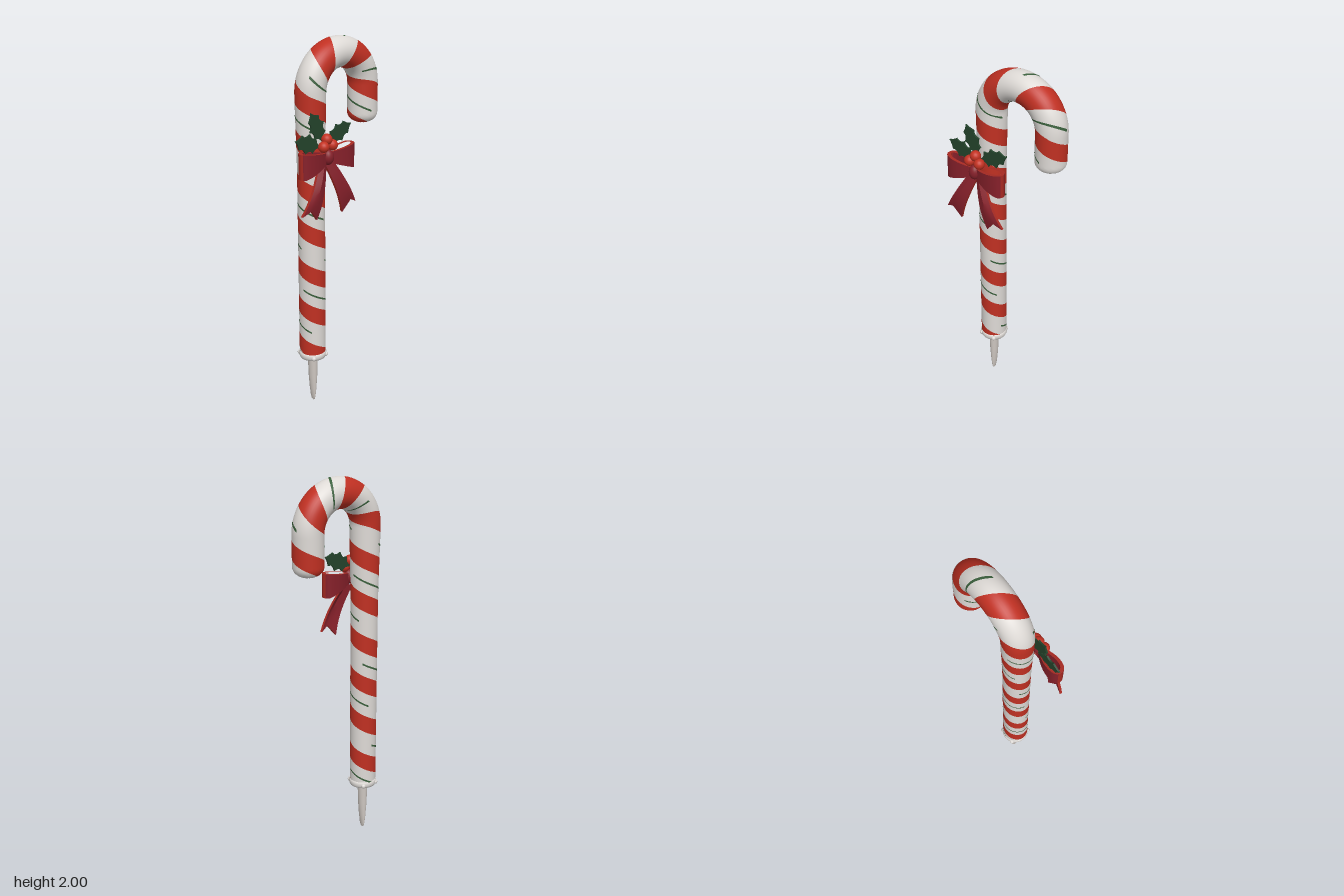
import * as THREE from 'three';
import { toCreasedNormals } from 'three/addons/utils/BufferGeometryUtils.js';

const mat = (name, color, side = THREE.FrontSide) => {
  const m = new THREE.MeshStandardMaterial({ color, side });
  m.name = name;
  return m;
};

// Cane centreline: straight shaft, half-circle hook, short straight end
const CX = -0.042, CZ = 0.13, BEND = 0.1815, BEND_Y = 1.74;
const S0 = 0.3, S1 = 2.52, PITCH = 0.225, CAP = 0.055;

function caneFrame(s) {
  const th = THREE.MathUtils.clamp((s - BEND_Y) / BEND, 0, Math.PI);
  const n = new THREE.Vector3(0, Math.sin(th), Math.cos(th));
  const t = new THREE.Vector3(0, Math.cos(th), -Math.sin(th));
  const c = new THREE.Vector3(CX, BEND_Y, CZ - BEND).addScaledVector(n, BEND);
  return { c: c.addScaledVector(t, s - BEND_Y - th * BEND), n, t };
}

function caneRadius(s) {
  const r = 0.071 + 0.008 * THREE.MathUtils.smoothstep(s, 1.3, 1.8);
  const k = Math.max(0, (s - S1 + CAP) / CAP);
  return r * Math.sqrt(Math.max(0, 1 - k * k));
}

// Helical band on the cane between two fractions of the pitch
function helixBand(f0, f1, rows, lift = 0, visible = () => true) {
  const pos = [], nor = [], idx = [], sv = [];
  const per = 40, start = -4 * per, end = 9 * per;
  for (let i = start; i <= end; i++) {
    const a = -i / per * Math.PI * 2;
    for (let j = 0; j <= rows; j++) {
      const f = f0 + (f1 - f0) * j / rows;
      const s = THREE.MathUtils.clamp(0.82 + PITCH * (f + i / per), S0, S1);
      const { c, n, t } = caneFrame(s);
      const out = n.clone().multiplyScalar(Math.cos(a));
      out.x += Math.sin(a);
      const p = c.clone().addScaledVector(out, caneRadius(s) + (s < S1 ? lift : 0));
      const k = THREE.MathUtils.clamp((s - S1 + CAP) / CAP, 0, 1);
      const normal = out.multiplyScalar(Math.sqrt(1 - k * k)).addScaledVector(t, k).normalize();
      pos.push(p.x, p.y, p.z);
      nor.push(normal.x, normal.y, normal.z);
      sv.push(s);
    }
  }
  const w = rows + 1;
  for (let i = 0; i < end - start; i++) {
    if (!visible((start + i) / per)) continue;
    for (let j = 0; j < rows; j++) {
      const a = i * w + j, b = a + 1, c = a + w, d = c + 1;
      if (Math.max(sv[b], sv[d]) <= S0 || Math.min(sv[a], sv[c]) >= S1) continue;
      idx.push(a, b, c, b, d, c);
    }
  }
  const g = new THREE.BufferGeometry();
  g.setAttribute('position', new THREE.Float32BufferAttribute(pos, 3));
  g.setAttribute('normal', new THREE.Float32BufferAttribute(nor, 3));
  g.setIndex(idx);
  return g;
}

// Broad ribbon faces get material 0, rims and ends get material 1
function splitFacesAndRims(geometry) {
  const g = toCreasedNormals(geometry, 0.7);
  const p = g.attributes.position, faces = [], rims = [];
  const tri = new THREE.Triangle(), n = new THREE.Vector3();
  for (let i = 0; i < p.count; i += 3) {
    tri.setFromAttributeAndIndices(p, i, i + 1, i + 2).getNormal(n);
    (Math.abs(n.z) > 0.5 ? faces : rims).push(i, i + 1, i + 2);
  }
  g.setIndex([...faces, ...rims]);
  g.clearGroups();
  g.addGroup(0, faces.length, 0);
  g.addGroup(faces.length, rims.length, 1);
  return g;
}

// Bow loop: closed ribbon outline, taller toward its outer end
function bowLoop(side) {
  const curve = pts => new THREE.CatmullRomCurve3(
    pts.map(([u, v]) => new THREE.Vector3(side * u, v, 0)), true).getPoints(36)
    .slice(0, -1).map(p => new THREE.Vector2(p.x, p.y));
  const shape = new THREE.Shape(curve([[0, .085], [.05, .11], [.12, .12], [.165, .107],
    [.177, .08], [.16, .053], [.1, .045], [.04, .06]]));
  shape.holes.push(new THREE.Path(curve([[.02, .085], [.05, .096], [.12, .104], [.15, .095],
    [.159, .08], [.148, .067], [.1, .061], [.045, .072]])));
  const g = new THREE.ExtrudeGeometry(shape, { depth: 1, bevelEnabled: false, steps: 1 });
  g.translate(0, 0, -0.5).rotateX(Math.PI / 2);
  const p = g.attributes.position;
  for (let i = 0; i < p.count; i++) {
    const u = Math.min(1, Math.abs(p.getX(i)) / 0.16);
    p.setY(i, 1.44 - 0.015 * u + p.getY(i) * (0.05 + 0.078 * u));
  }
  return splitFacesAndRims(g);
}

// Bow tail: widening strip with a notched end and a forward curve
function bowTail(side) {
  const g = new THREE.BoxGeometry(1, 1, 0.014, 4, 10, 1);
  const p = g.attributes.position, mix = THREE.MathUtils.lerp;
  for (let i = 0; i < p.count; i++) {
    const s = side * p.getX(i), t = 0.5 - p.getY(i);
    const x = mix(0.02 + 0.045 * s, 0.134 + 0.095 * s, t);
    const y = mix(1.41 + 0.02 * s, 1.155 + 0.036 * s + 0.042 * (1 - 2 * Math.abs(s)), t);
    const curl = 0.075 + 0.036 * Math.sin(t * 2.3) + 0.006 * Math.cos(s * 6);
    p.setXYZ(i, side * x, y, p.getZ(i) + curl);
  }
  return splitFacesAndRims(g);
}

// Spiky holly leaf growing along +y
function hollyLeaf(length) {
  const half = [[.1, .012], [.22, .04], [.5, .05], [.78, .036], [1, 0]];
  const path = [[0, .004], ...half];
  const all = [...path, ...path.slice(0, -1).reverse().map(([t, w]) => [t, -w])];
  const shape = new THREE.Shape();
  shape.moveTo(all[0][1], 0);
  for (let i = 1; i < all.length; i++) {
    const [t0, w0] = all[i - 1], [t1, w1] = all[i];
    shape.quadraticCurveTo((w0 + w1) * 0.22, (t0 + t1) / 2 * length, w1, t1 * length);
  }
  return new THREE.ExtrudeGeometry(shape, { depth: 0.009, bevelEnabled: false, curveSegments: 5 });
}

export function createModel() {
  const white = mat('candy white', 0xdedad6), red = mat('candy red', 0xc03022);
  const grey = mat('stake grey', 0xcfc8c2), lineGreen = mat('line green', 0x3a5f3c);
  const bowRed = mat('bow dark red', 0x86202a), rimRed = mat('bow rim red', 0xa82a22);
  const leafGreen = mat('leaf green', 0x24442c), berryRed = mat('berry red', 0xc43222);
  const model = new THREE.Group();
  const add = (parent, name, geometry, material, x = 0, y = 0, z = 0) => {
    const m = new THREE.Mesh(geometry, material);
    m.name = name;
    m.position.set(x, y, z);
    parent.add(m);
    return m;
  };

  // Striped cane
  add(model, 'redStripe', helixBand(-0.21, 0.21, 6), red);
  add(model, 'whiteStripe', helixBand(0.21, 0.79, 8), white);
  add(model, 'greenLine', helixBand(0.475, 0.52, 1, 0.0012, t => Math.sin(t * 8.9) > -0.1), lineGreen);

  // Base collar with small nubs
  const v = (x, y) => new THREE.Vector2(x, y);
  add(model, 'collar', new THREE.LatheGeometry([v(0, .278), v(.06, .278), v(.07, .283), v(.075, .295),
    v(.075, .308), v(.071, .318), v(.06, .318)], 40), white, CX, 0, CZ);
  for (const sx of [-1, 1]) for (const sz of [-1, 1])
    add(model, 'collarNub', new THREE.SphereGeometry(0.013, 12, 8), white, CX + sx * 0.057, 0.297, CZ + sz * 0.043);

  // Ground stake, wide across the front and pointed from the side
  const stake = new THREE.LatheGeometry([v(0, 0), v(.012, .008), v(.018, .03), v(.022, .08),
    v(.026, .16), v(.03, .285)], 24);
  const sp = stake.attributes.position;
  for (let i = 0; i < sp.count; i++)
    sp.setZ(i, sp.getZ(i) * THREE.MathUtils.lerp(0.3, 0.85, Math.min(1, sp.getY(i) / 0.11)));
  stake.computeVertexNormals();
  add(model, 'stake', stake, grey, CX, 0, CZ);

  // Bow and holly, facing the model's left side
  const trim = new THREE.Group();
  trim.name = 'bowAndHolly';
  trim.position.z = 0.135;
  trim.rotation.y = Math.PI / 2;
  model.add(trim);
  for (const side of [-1, 1]) {
    add(trim, 'bowLoop', bowLoop(side), [bowRed, rimRed]);
    add(trim, 'bowTail', bowTail(side), [bowRed, rimRed]);
  }
  add(trim, 'bowKnot', new THREE.SphereGeometry(1, 20, 14), bowRed, 0, 1.443, 0.09).scale.set(0.03, 0.04, 0.03);
  for (const [x, y, z] of [[-0.03, 1.5, 0.092], [0.03, 1.5, 0.09], [0, 1.532, 0.082]])
    add(trim, 'berry', new THREE.SphereGeometry(0.028, 18, 12), berryRed, x, y, z);
  for (const [x, y, z, turn, len] of [[-0.03, 1.495, 0.055, 1.23, 0.165], [-0.005, 1.52, 0.05, 0.46, 0.168],
    [0.02, 1.51, 0.058, -1.16, 0.175]])
    add(trim, 'hollyLeaf', hollyLeaf(len), leafGreen, x, y, z).rotation.z = turn;
  return model;
}
